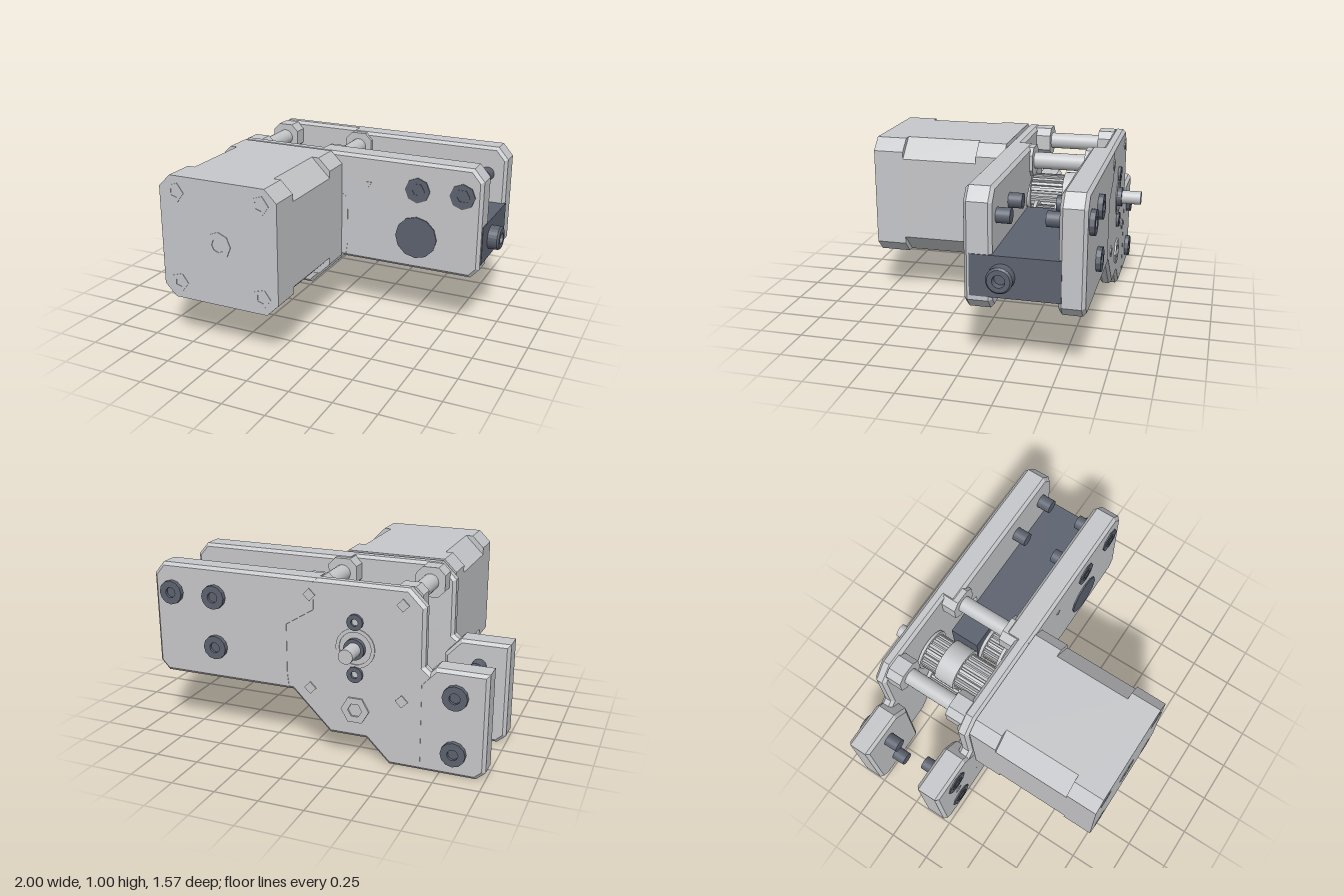
import * as THREE from 'three';

export function createModel() {
  const root = new THREE.Group();
  const grey = new THREE.MeshStandardMaterial({ color: 0xc6c7ca });
  grey.name = 'light grey metal';
  const dark = new THREE.MeshStandardMaterial({ color: 0x5c626f });
  dark.name = 'dark steel';

  const add = (name, geo, mat = grey) => {
    const m = new THREE.Mesh(geo, mat);
    m.name = name;
    root.add(m);
    return m;
  };
  const shapeOf = pts => new THREE.Shape(pts.map(p => new THREE.Vector2(p[0], p[1])));

  // Prism between z0 and z1 with an optional chamfer kept inside the outline
  const prism = (name, shape, z0, z1, bevel = 0, mat = grey) => {
    const geo = new THREE.ExtrudeGeometry(shape, {
      depth: z1 - z0 - 2 * bevel, bevelEnabled: bevel > 0, bevelSegments: 1,
      bevelThickness: bevel, bevelSize: bevel, bevelOffset: -bevel, curveSegments: 10,
    });
    geo.translate(0, 0, z0 + bevel);
    return add(name, geo, mat);
  };

  // Cylinder along z; few-sided ones get flat faces
  const rod = (name, x, y, z0, z1, r, mat = grey, sides = 24) => {
    let geo = new THREE.CylinderGeometry(r, r, z1 - z0, sides);
    if (sides <= 12) {
      geo = geo.toNonIndexed();
      geo.computeVertexNormals();
    }
    geo.rotateX(Math.PI / 2);
    geo.translate(x, y, (z0 + z1) / 2);
    return add(name, geo, mat);
  };

  // Ring along z
  const ring = (name, x, y, z0, z1, r, hole, mat = grey, sides = 24) => {
    const poly = rad => Array.from({ length: sides }, (_, i) => {
      const a = i / sides * Math.PI * 2;
      return new THREE.Vector2(x + rad * Math.cos(a), y + rad * Math.sin(a));
    });
    const s = new THREE.Shape(poly(r));
    s.holes.push(new THREE.Path(poly(hole)));
    return prism(name, s, z0, z1, 0, mat);
  };

  // Toothed belt wheel section
  const teeth = (name, x, y, z0, z1, r) => {
    const pts = [], n = 20;
    for (let i = 0; i < n; i++) {
      [[0, r], [0.5, r], [0.55, r - 0.018], [0.95, r - 0.018]].forEach(([f, rad]) => {
        const a = (i + f) / n * Math.PI * 2;
        pts.push([x + rad * Math.cos(a), y + rad * Math.sin(a)]);
      });
    }
    return prism(name, shapeOf(pts), z0, z1);
  };

  // Side plates: thin web plus thicker left and right ends
  const outline = [[-1, 0.05], [-0.95, 0.005], [-0.47, 0.005], [-0.34, 0.135], [-0.13, 0.135],
    [0.09, 0.355], [0.88, 0.355], [0.93, 0.41], [0.93, 0.93], [0.87, 1], [-0.57, 1],
    [-0.66, 0.91], [-0.66, 0.59], [-0.69, 0.565], [-0.72, 0.595], [-1, 0.595]];
  const rightEnd = [[0.09, 0.355], [0.88, 0.355], [0.93, 0.41], [0.93, 0.93], [0.87, 1],
    [-0.06, 1], [-0.06, 0.82], [0.1, 0.72], [0.1, 0.45]];
  const leftEnd = [[-1, 0.05], [-0.95, 0.005], [-0.63, 0.005], [-0.63, 0.5],
    [-0.69, 0.565], [-0.72, 0.595], [-1, 0.595]];
  const corners = [[-0.54, 0.91], [-0.02, 0.91], [-0.54, 0.385], [-0.02, 0.385]];
  const boss = (x, y) => {
    const r = 0.085, c = 0.04;
    return shapeOf([[x - r, y - r + c], [x - r + c, y - r], [x + r - c, y - r], [x + r, y - r + c],
      [x + r, y + r - c], [x + r - c, y + r], [x - r + c, y + r], [x - r, y + r - c]]);
  };
  prism('frontPlateWeb', shapeOf(outline), -0.098, -0.021, 0.018);
  prism('backPlateWeb', shapeOf(outline), -0.644, -0.572, 0.018);
  [['Right', rightEnd], ['Left', leftEnd]].forEach(([side, pts]) => {
    prism('frontPlate' + side + 'End', shapeOf(pts), -0.168, -0.02, 0.018);
    prism('backPlate' + side + 'End', shapeOf(pts), -0.645, -0.505, 0.018);
  });

  // Upper standoffs with their bosses, and corner screws
  corners.forEach(([x, y], i) => {
    if (i < 2) {
      rod('standoff', x, y, -0.5, -0.17, 0.048);
      prism('frontBoss', boss(x, y), -0.185, -0.08);
      prism('backBoss', boss(x, y), -0.58, -0.485);
    }
    ring('motorCornerScrew', x, y, 0.777, 0.783, 0.055, 0.03, grey, 5);
    rod('backCornerScrew', x, y, -0.651, -0.64, 0.035, grey, 4);
  });

  // Motor: two chamfered end caps around a more deeply chamfered body
  const square = c => shapeOf([[-0.64 + c, 0.29], [0.08 - c, 0.29], [0.08, 0.29 + c], [0.08, 1.003 - c],
    [0.08 - c, 1.003], [-0.64 + c, 1.003], [-0.64, 1.003 - c], [-0.64, 0.29 + c]]);
  prism('motorFrontCap', square(0.07), 0.6, 0.78);
  prism('motorBody', square(0.112), 0.15, 0.6);
  prism('motorRearCap', square(0.07), -0.018, 0.15);
  const sx = -0.28, sy = 0.645;
  ring('motorBearing', sx, sy, 0.777, 0.784, 0.077, 0.04, grey, 8);
  rod('motorPilot', sx, sy, -0.105, -0.09, 0.17);
  rod('motorShaft', sx, sy, -0.785, 0, 0.04);
  ring('shaftCollar', sx, sy, -0.672, -0.64, 0.058, 0.04, dark);
  ring('backBearingRing', sx, sy, -0.65, -0.64, 0.11, 0.09);

  // Drive pulley on the motor shaft
  rod('pulleyFlange', sx, sy, -0.125, -0.105, 0.128);
  teeth('pulleyTeeth', sx, sy, -0.32, -0.125, 0.112);
  rod('pulleyHub', sx, sy, -0.445, -0.32, 0.13);
  teeth('pulleyRearTeeth', sx, sy, -0.55, -0.445, 0.112);
  rod('pulleyFlange', sx, sy, -0.567, -0.55, 0.128);

  // Lower pulley on its spacer
  const ly = 0.295;
  rod('lowerSpacer', sx, ly, -0.325, -0.085, 0.066);
  rod('lowerFlange', sx, ly, -0.345, -0.322, 0.128);
  teeth('lowerTeeth', sx, ly, -0.545, -0.345, 0.112);
  rod('lowerFlange', sx, ly, -0.568, -0.545, 0.128);
  ring('lowerFrontRing', sx, ly, -0.024, -0.013, 0.11, 0.065);
  ring('lowerBackNut', sx, ly, -0.655, -0.64, 0.08, 0.04, grey, 6);

  // Idler beside the slider block
  rod('idlerShaft', -0.02, 0.54, -0.4, -0.1, 0.045);
  rod('idlerFlange', -0.02, 0.54, -0.205, -0.185, 0.12);
  teeth('idlerTeeth', -0.02, 0.54, -0.31, -0.205, 0.1);
  rod('idlerFlange', -0.02, 0.54, -0.33, -0.31, 0.12);

  // Slider block, L-shaped from above
  const block = (name, x0, x1, z0, z1) => {
    const g = new THREE.BoxGeometry(x1 - x0, 0.225, z1 - z0);
    g.translate((x0 + x1) / 2, 0.5475, (z0 + z1) / 2);
    add(name, g, dark);
  };
  block('sliderBlock', 0.1, 0.934, -0.525, -0.05);
  block('sliderTongue', -0.12, 0.1, -0.525, -0.345);

  // Adjusting screw on the block's outer end
  const lathe = new THREE.LatheGeometry([[0.07, 0], [0.07, 0.055], [0.06, 0.066], [0.034, 0.066],
    [0.03, 0.03], [0, 0.03]].map(p => new THREE.Vector2(...p)), 24).toNonIndexed();
  lathe.computeVertexNormals();
  lathe.rotateZ(-Math.PI / 2);
  lathe.translate(0.934, 0.55, -0.22);
  add('adjustingScrew', lathe, dark).material.side = THREE.DoubleSide;

  // Plate bolts: heads outside, threaded ends inside
  [[-0.83, 0.455], [-0.83, 0.14], [0.55, 0.835], [0.815, 0.835]].forEach(([x, y]) => {
    rod('frontBoltHead', x, y, -0.03, -0.013, 0.075, dark, 8);
    ring('frontBoltSocket', x, y, -0.014, -0.01, 0.045, 0.03, dark, 6);
    ring('backBoltHead', x, y, -0.672, -0.64, 0.068, 0.03, dark, 12);
    rod('backBoltSocket', x, y, -0.656, -0.64, 0.032, dark, 6);
    rod('frontBoltEnd', x, y, -0.243, -0.16, 0.041, dark);
    rod('backBoltEnd', x, y, -0.51, -0.425, 0.041, dark);
  });
  ring('backBoltHead', 0.55, 0.545, -0.672, -0.64, 0.068, 0.03, dark, 12);
  rod('backBoltSocket', 0.55, 0.545, -0.656, -0.64, 0.032, dark, 6);
  rod('frontKnob', 0.55, 0.55, -0.03, -0.012, 0.125, dark, 12);
  [-0.145, 0.145].forEach(d => ring('bearingScrew', sx, sy + d, -0.66, -0.64, 0.045, 0.02, dark, 12));

  // Small dimples on the plates
  rod('plateDimple', 0.25, 0.835, -0.022, -0.016, 0.02, grey, 3);
  rod('plateDimple', -0.83, 0.3, -0.022, -0.016, 0.025, grey, 4);
  return root;
}
